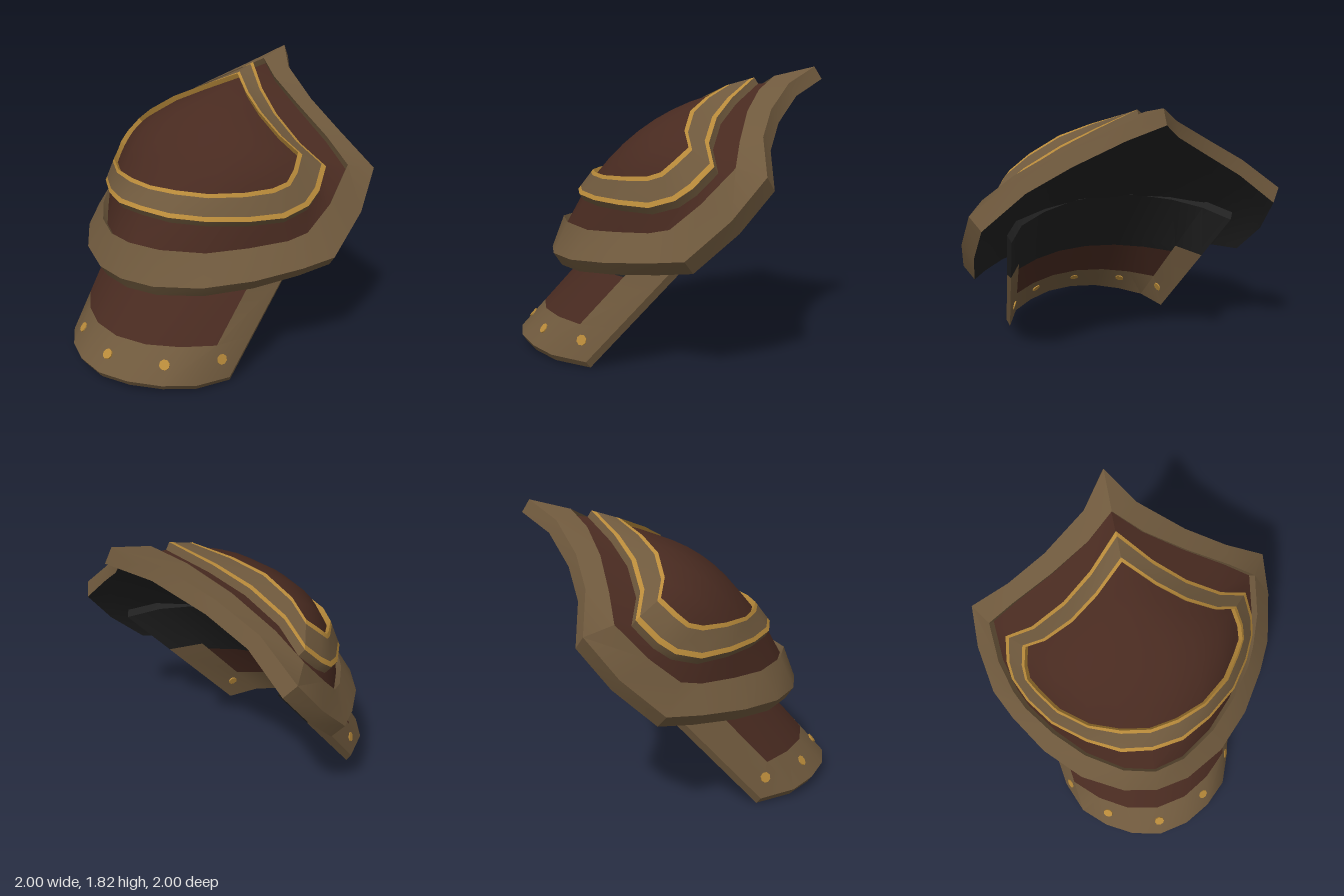
import * as THREE from 'three';
import { toCreasedNormals } from 'three/addons/utils/BufferGeometryUtils.js';

const mat = (name, color) => {
  const m = new THREE.MeshStandardMaterial({ color, side: THREE.DoubleSide });
  m.name = name;
  return m;
};
const V = (p) => new THREE.Vector3(...p);

// Move points inward (down and towards the body) by a depth
const off = (p, d) => new THREE.Vector3(p.x + 0.5 * d, p.y - 0.8 * d, p.z * (1 - 0.6 * d));
const inset = (loop, d) => loop.map((p) => off(p, d));
const blend = (a, b, t) => a.map((p, i) => p.clone().lerp(b[i], t));

// Skin a list of equal-length rows; keep() picks cells
function skin(rows, { closed = false, flip = false, keep = () => true } = {}) {
  const pos = [];
  for (let r = 0; r < rows.length - 1; r++) {
    const n = rows[r].length;
    for (let c = 0; c < (closed ? n : n - 1); c++) {
      if (!keep(r, c)) continue;
      const d = (c + 1) % n;
      const [p, q, s, t] = [rows[r][c], rows[r][d], rows[r + 1][d], rows[r + 1][c]];
      const tris = flip ? [p, s, q, p, t, s] : [p, q, s, p, s, t];
      tris.forEach((v) => pos.push(v.x, v.y, v.z));
    }
  }
  const g = new THREE.BufferGeometry();
  g.setAttribute('position', new THREE.Float32BufferAttribute(pos, 3));
  return toCreasedNormals(g, 0.5);
}

// Half loop from the outer crest, round the +z side, to the neck crest; mirrored shut
const mirrorLoop = (pts) => {
  const h = pts.map(V);
  return [...h, ...h.slice(1, -1).reverse().map((p) => new THREE.Vector3(p.x, p.y, -p.z))];
};

// Arched sheet filling a loop: strips run from its lower side to its neck side
const dome = (loop, height) => {
  const rows = [];
  for (let k = 0; k <= 8; k++) {
    const t = k / 8, row = [];
    for (let i = -5; i <= 5; i++) {
      const h = height * 4 * t * (1 - t) * (1 - Math.abs(i / 5) ** 1.6);
      const p = loop[(i + 22) % 22].clone().lerp(loop[11 - i], t);
      row.push(p.add(new THREE.Vector3(-0.5 * h, 0.85 * h, 0)));
    }
    rows.push(row);
  }
  return rows;
};

export function createModel() {
  const bronze = mat('bronze', 0x6f593d);
  const leather = mat('brownLeather', 0x482a20);
  const gold = mat('gold', 0xb88a3a);
  const dark = mat('darkLining', 0x212121);

  const model = new THREE.Group();
  model.name = 'shoulderArmour';
  const add = (name, geo, m, parent) => {
    const mesh = new THREE.Mesh(geo, m);
    mesh.name = name;
    parent.add(mesh);
    return mesh;
  };

  // Nested outlines of the upper shell
  const rim = mirrorLoop([[-0.78, 0.63, 0], [-0.74, 0.63, 0.22], [-0.6, 0.645, 0.48], [-0.38, 0.675, 0.7],
    [-0.12, 0.71, 0.87], [0.08, 0.74, 0.97], [0.33, 0.97, 1], [0.52, 1.2, 0.97],
    [0.53, 1.4, 0.7], [0.61, 1.55, 0.44], [0.76, 1.71, 0.16], [0.95, 1.82, 0]]);
  const rimInner = mirrorLoop([[-0.7, 0.84, 0], [-0.65, 0.83, 0.2], [-0.5, 0.82, 0.43], [-0.32, 0.84, 0.61],
    [-0.12, 0.86, 0.76], [0, 0.89, 0.82], [0.17, 1.04, 0.87], [0.36, 1.24, 0.87],
    [0.4, 1.38, 0.69], [0.47, 1.54, 0.42], [0.57, 1.67, 0.17], [0.69, 1.76, 0]]);
  const band = mirrorLoop([[-0.6, 1.02, 0], [-0.57, 1.01, 0.2], [-0.46, 1, 0.4], [-0.3, 1, 0.6],
    [-0.12, 1, 0.73], [0.03, 1.05, 0.8], [0.13, 1.12, 0.81], [0.25, 1.24, 0.78],
    [0.23, 1.36, 0.6], [0.29, 1.5, 0.38], [0.4, 1.62, 0.19], [0.56, 1.75, 0]]);
  const bandInner = mirrorLoop([[-0.5, 1.15, 0], [-0.47, 1.15, 0.18], [-0.4, 1.15, 0.37], [-0.27, 1.16, 0.54],
    [-0.13, 1.17, 0.64], [-0.05, 1.2, 0.69], [0.02, 1.26, 0.69], [0.11, 1.34, 0.66],
    [0.09, 1.43, 0.53], [0.13, 1.54, 0.35], [0.23, 1.62, 0.18], [0.38, 1.7, 0]]);

  const ring = { closed: true };
  const shell = new THREE.Group();
  shell.name = 'upperShell';
  model.add(shell);
  add('rimTrim', skin([inset(rim, 0.1), rim, rimInner, inset(rimInner, 0.05)], ring), bronze, shell);
  add('outerLeather', skin([inset(rimInner, 0.05), inset(band, 0.05)], ring), leather, shell);
  add('centreLeather', skin(dome(inset(bandInner, 0.04), 0.1)), leather, shell);

  // Raised band with gold piping on both edges
  const e1 = blend(band, bandInner, 0.17), e2 = blend(band, bandInner, 0.85);
  add('bandSide', skin([inset(band, 0.05), band], ring), bronze, shell);
  add('bandOuterPiping', skin([band, e1], ring), gold, shell);
  add('raisedBand', skin([e1, e2], ring), bronze, shell);
  add('bandInnerPiping', skin([e2, bandInner, inset(bandInner, 0.04)], ring), gold, shell);

  // Dark lining, a shallow arch across the inner rim
  add('lining', skin(dome(inset(rim, 0.1), 0.04), { flip: true }), dark, shell);

  // Lower plate: one curved section swept up under the shell
  const half = [[-1, 0.08, 0], [-0.96, 0.08, 0.2], [-0.86, 0.07, 0.38], [-0.72, 0.06, 0.53], [-0.5, 0.045, 0.62]].map(V);
  const section = [...half.slice(1).reverse().map((p) => new THREE.Vector3(p.x, p.y, -p.z)), ...half];
  const lift = (p, y) => {
    const s = (y - p.y) / 0.67;
    return new THREE.Vector3(p.x + 0.6 * s, y, p.z * (1 + 0.13 * s));
  };
  const top = section.map((p) => lift(p, 1.12 - 0.28 * p.z * p.z));
  const sweepRows = (rise) => [0.26, 0.56, 0.62].map((y) => section.map((p) => lift(p, y + rise)));
  const outer = [section, ...sweepRows(0), top];
  const inner = [section, ...sweepRows(0.035), top].map((r) => inset(r, 0.05));
  const edge = (c) => c === 0 || c === 7;
  const zones = [
    ['plateTrim', bronze, (r, c) => r === 0 || (edge(c) && r < 3)],
    ['platePanel', leather, (r, c) => r === 1 && !edge(c)],
    ['plateUnderShell', dark, (r, c) => r === 3 || (r === 2 && !edge(c))],
  ];
  const plate = new THREE.Group();
  plate.name = 'lowerPlate';
  model.add(plate);
  for (const [name, m, keep] of zones) {
    add(name + 'Outside', skin(outer, { keep }), m, plate);
    add(name + 'Inside', skin(inner, { keep, flip: true }), m, plate);
  }
  add('plateBottomEdge', skin([inner[0], outer[0]]), bronze, plate);
  add('plateTopEdge', skin([outer[4], inner[4]]), dark, plate);
  for (const c of [0, 8]) {
    const rows = [outer, inner].map((rs) => rs.map((r) => r[c]));
    for (const [name, m, keep] of [
      ['plateSideEdge', bronze, (r, k) => k < 3],
      ['plateSideEdgeUnderShell', dark, (r, k) => k === 3],
    ]) add(name, skin(rows, { flip: c === 0, keep }), m, plate);
  }

  // Rivets along the lower trim, on both faces
  const sweep = new THREE.Vector3(0.6, 0.67, 0);
  const up = new THREE.Vector3(0, 1, 0);
  for (const u of [0.6, 2.2, 4, 5.8, 7.4]) {
    const i = Math.floor(u), a = section[i], b = section[i + 1];
    const p = a.clone().lerp(b, u - i);
    const t = u === 4 ? new THREE.Vector3(0, 0, 1) : b.clone().sub(a);
    const normal = t.cross(sweep).normalize();
    for (const at of [lift(p, 0.17), off(lift(p, 0.21), 0.05)]) {
      const rivet = add('rivet', new THREE.CylinderGeometry(0.033, 0.033, 0.014, 8), gold, plate);
      rivet.position.copy(at);
      rivet.quaternion.setFromUnitVectors(up, normal);
    }
  }
  return model;
}
